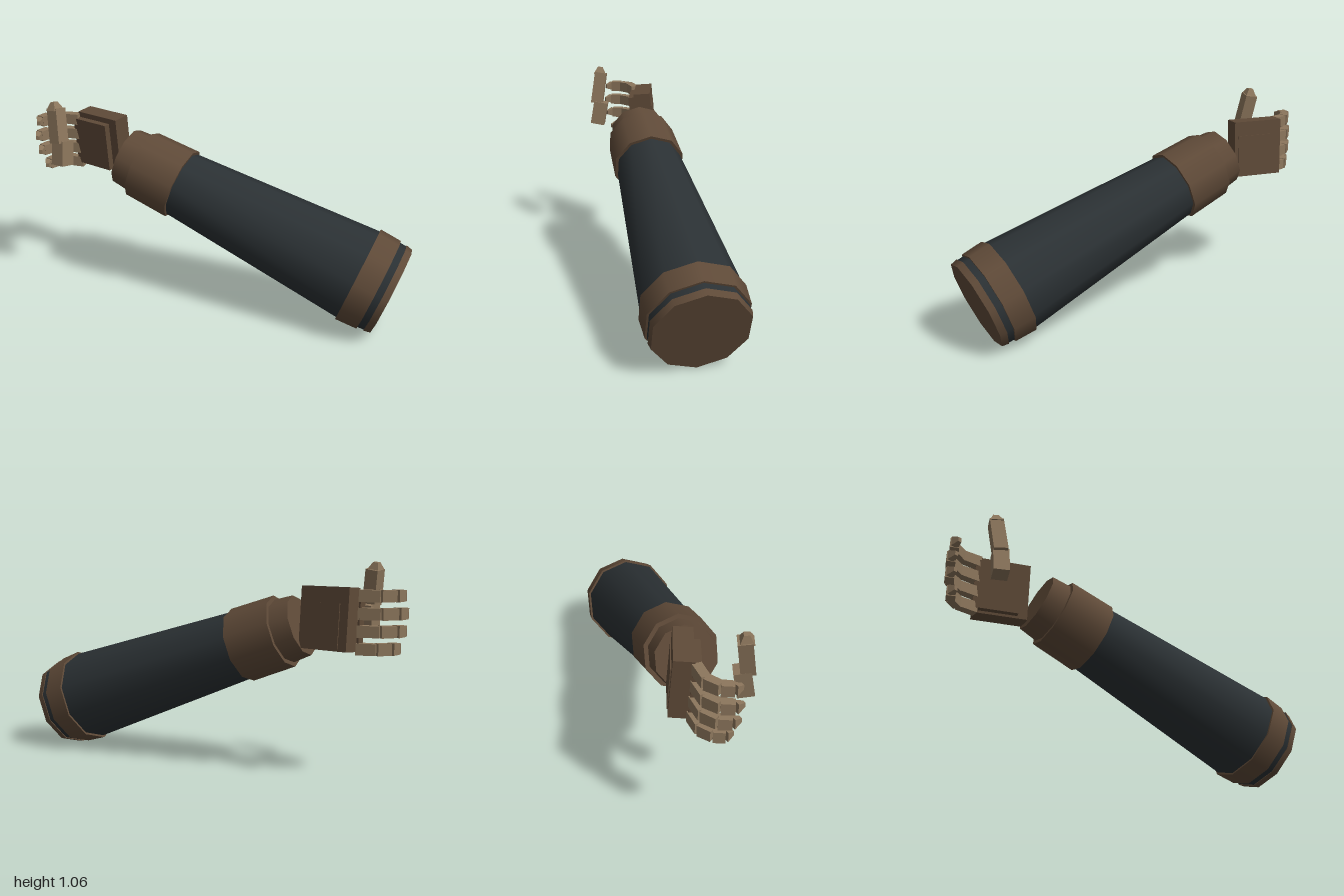
import * as THREE from 'three';

const material = (color) => new THREE.MeshStandardMaterial({ color });
const V = (x, y, z) => new THREE.Vector3(x, y, z);

export function createModel() {
  const model = new THREE.Group();
  const brown = material(0x5f4a38);
  const tan = material(0x8c765c);
  const dark = material(0x2b3134);

  const add = (parent, name, geometry, mat) => {
    const mesh = new THREE.Mesh(geometry, mat);
    mesh.name = name;
    parent.add(mesh);
    return mesh;
  };

  // Forearm: ten-sided sections stacked along one slanted axis
  const forearm = new THREE.Group();
  forearm.name = 'forearm';
  const axis = V(-0.25, 0.367, -1).normalize();
  const down = V(0, -1, 0).addScaledVector(axis, axis.y).normalize();
  forearm.quaternion.setFromRotationMatrix(
    new THREE.Matrix4().makeBasis(V(0, 0, 0).crossVectors(axis, down), axis, down));
  forearm.position.set(0.21, 0.23, 0.905);
  model.add(forearm);

  // name, start and end along the axis, start and end radius, material
  const sections = [
    ['elbowCap', 0, 0.035, 0.235, 0.243, brown],
    ['elbowGroove', 0.03, 0.075, 0.238, 0.24, dark],
    ['elbowCollar', 0.07, 0.185, 0.25, 0.257, brown],
    ['sleeve', 0.18, 1.25, 0.246, 0.176, dark],
    ['wristCollar', 1.215, 1.46, 0.194, 0.186, brown],
    ['wrist', 1.45, 1.56, 0.165, 0.155, brown],
  ];
  for (const [name, start, end, r0, r1, mat] of sections) {
    const mesh = add(forearm, name, new THREE.CylinderGeometry(r1, r0, end - start, 10), mat);
    mesh.position.y = (start + end) / 2;
  }

  // Hand: slightly tilted block with a plate on each side
  const palm = new THREE.Group();
  palm.name = 'palm';
  palm.position.set(-0.115, 0.8, -0.7);
  palm.rotation.z = 0.07;
  model.add(palm);
  const slab = (name, w, h, d, x, y, z) =>
    add(palm, name, new THREE.BoxGeometry(w, h, d), brown).position.set(x, y, z);
  slab('palmBlock', 0.094, 0.302, 0.27, 0, 0, 0);
  slab('backPlate', 0.012, 0.215, 0.205, 0.046, -0.033, 0.013);
  slab('innerPlate', 0.04, 0.26, 0.23, -0.06, -0.008, -0.03);

  // Box running from a to b, its far end scaled by taper
  const segment = (parent, name, a, b, width, depth, taper, side) => {
    const along = b.clone().sub(a);
    const geometry = new THREE.BoxGeometry(width, along.length(), depth);
    const p = geometry.attributes.position;
    for (let i = 0; i < p.count; i++) {
      if (p.getY(i) > 0) p.setXYZ(i, p.getX(i) * taper, p.getY(i), p.getZ(i) * taper);
    }
    geometry.computeVertexNormals();
    const mesh = add(parent, name, geometry, tan);
    along.normalize();
    const front = V(0, 0, 0).crossVectors(side, along).normalize();
    const right = V(0, 0, 0).crossVectors(along, front);
    mesh.quaternion.setFromRotationMatrix(new THREE.Matrix4().makeBasis(right, along, front));
    mesh.position.copy(a).add(b).multiplyScalar(0.5);
  };

  // Four curled fingers: joints in x and z from the knuckle
  const joints = [[0, 0.01], [-0.036, -0.085], [-0.095, -0.128], [-0.152, -0.132], [-0.185, -0.112]];
  const names = ['knucklePart', 'middlePart', 'endPart', 'fingertip'];
  const fingers = [[0.91, 1], [0.826, 1.08], [0.743, 1.06], [0.66, 0.94]];
  fingers.forEach(([y, size], n) => {
    const finger = new THREE.Group();
    finger.name = 'finger' + (n + 1);
    finger.position.set(-0.178 + (0.91 - y) * 0.07, y, -0.835);
    model.add(finger);
    for (let i = 0; i < 4; i++) {
      const [a, b] = [joints[i], joints[i + 1]].map(([x, z]) => V(x * size, 0, z * size));
      const tip = i === 3;
      segment(finger, names[i], a, b, tip ? 0.05 : 0.058, tip ? 0.04 : 0.046, tip ? 0.45 : 0.94, V(0, 1, 0));
    }
  });

  // Thumb: two blocks and a tapered tip
  const thumb = new THREE.Group();
  thumb.name = 'thumb';
  model.add(thumb);
  const across = V(1, 0, 0);
  segment(thumb, 'thumbBase', V(-0.4, 0.73, -0.748), V(-0.377, 0.86, -0.755), 0.08, 0.078, 1, across);
  segment(thumb, 'thumbUpper', V(-0.403, 0.852, -0.757), V(-0.378, 1.03, -0.786), 0.068, 0.07, 0.98, across);
  segment(thumb, 'thumbTip', V(-0.386, 1.022, -0.785), V(-0.383, 1.063, -0.791), 0.066, 0.066, 0.4, across);

  return model;
}
